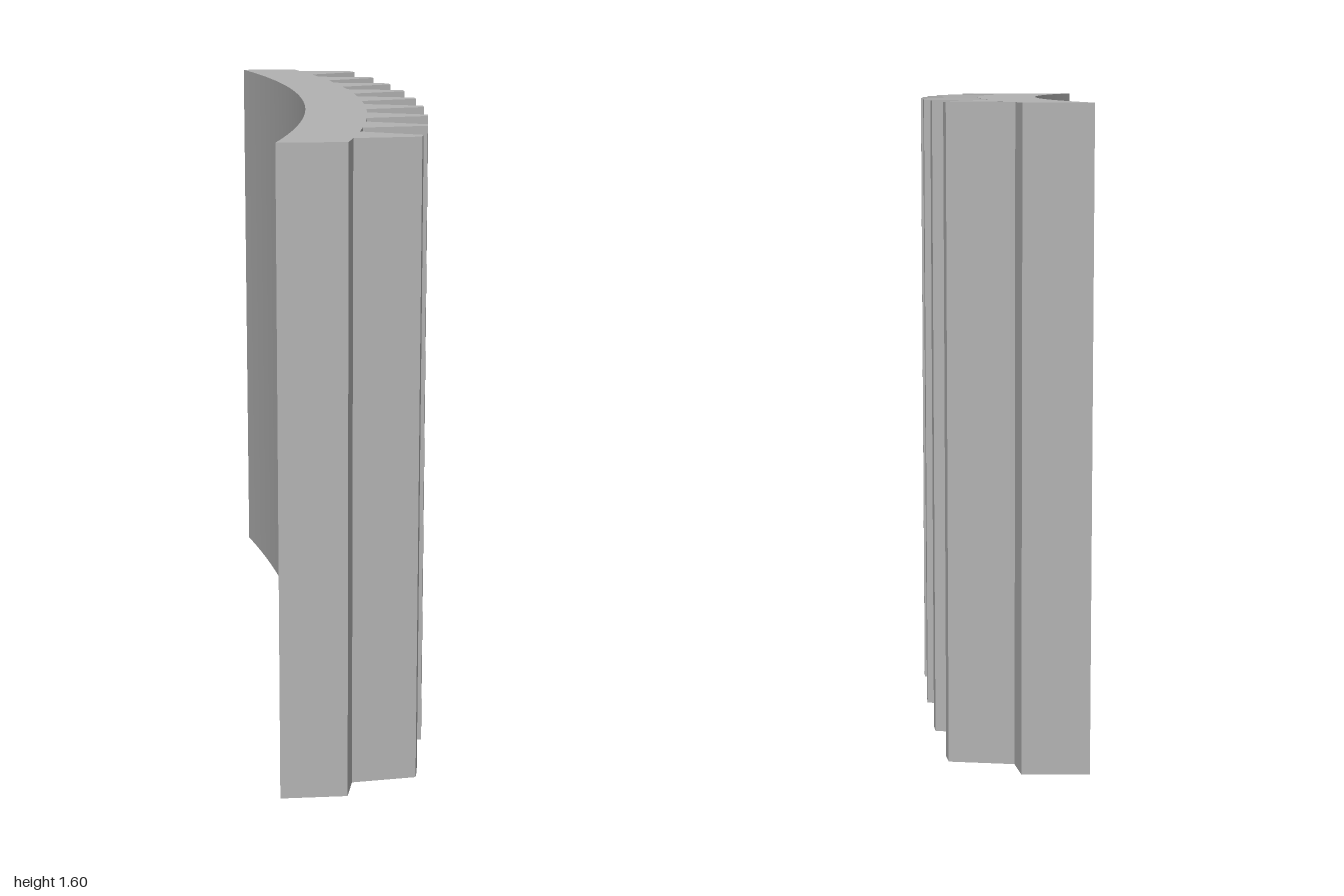
import * as THREE from 'three';
import { toCreasedNormals } from 'three/addons/utils/BufferGeometryUtils.js';

const HEIGHT = 1.6;
const CENTRE = -4.16;       // x of the gear ring's axis
const INNER = 4.065, ROOT = 4.225, TIP = 4.379;
const PITCH = 0.0514;       // angle between teeth
const OFFSET = -0.0005;
const ROOT_HALF = 0.0159, TIP_HALF = 0.0041; // half angles of a tooth

export function createModel() {
  const group = new THREE.Group();
  const steel = new THREE.MeshStandardMaterial({ color: 0xb3b3b3 });
  steel.name = 'steelGrey';

  // points are (x, -z), so the extrusion can be turned upright
  const polar = (r, a) => new THREE.Vector2(CENTRE + r * Math.cos(a), -r * Math.sin(a));
  const points = [];

  // smooth concave back
  const innerEnd = Math.asin(1 / INNER), steps = 40;
  for (let i = 0; i <= steps; i++) points.push(polar(INNER, innerEnd * (2 * i / steps - 1)));

  // toothed side, between the two flat ends
  const rootEnd = Math.asin(1 / ROOT);
  points.push(polar(ROOT, rootEnd));
  for (let i = 4; i >= -4; i--) {
    const a = i * PITCH + OFFSET;
    points.push(
      polar(ROOT, a + ROOT_HALF), polar(TIP, a + TIP_HALF),
      polar(TIP, a - TIP_HALF), polar(ROOT, a - ROOT_HALF)
    );
  }
  points.push(polar(ROOT, -rootEnd));

  let geometry = new THREE.ExtrudeGeometry(new THREE.Shape(points), { depth: HEIGHT, bevelEnabled: false });
  geometry.rotateX(-Math.PI / 2);
  geometry = toCreasedNormals(geometry, 0.1);

  const segment = new THREE.Mesh(geometry, steel);
  segment.name = 'toothedRingSegment';
  group.add(segment);
  return group;
}
